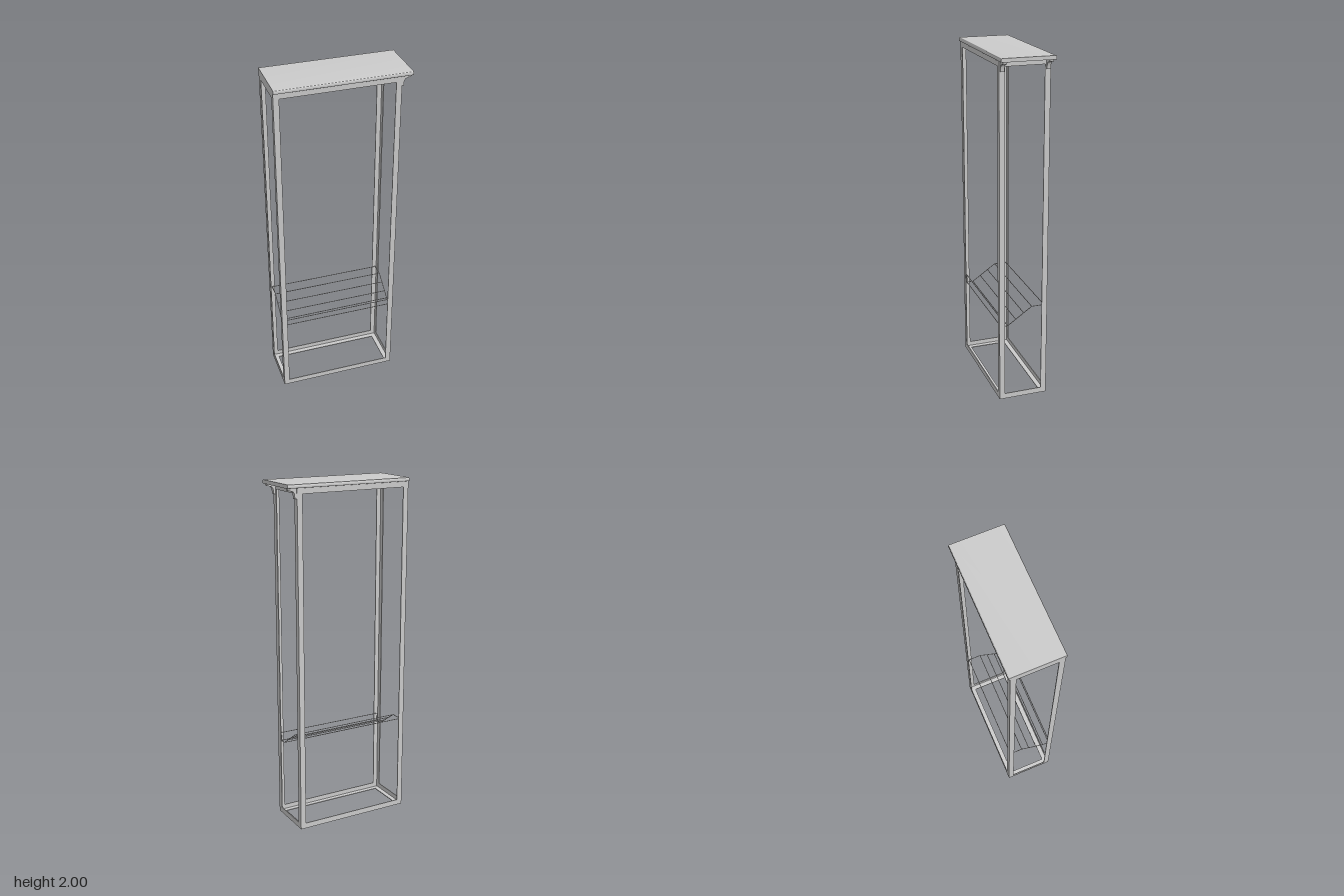
import * as THREE from 'three';
import { toCreasedNormals } from 'three/addons/utils/BufferGeometryUtils.js';

const X0 = -0.38, X1 = 0.318, ZO = 0.143; // outer faces of the frame
const W = 0.032, T = 0.005;               // angle-iron flange width and thickness
const TOP = 1.979;

export function createModel() {
  const root = new THREE.Group();
  const mat = new THREE.MeshStandardMaterial({ color: 0xcccccc });

  const add = (parent, name, geo) => {
    const m = new THREE.Mesh(geo, mat);
    m.name = name;
    parent.add(m);
    return m;
  };
  // box given by its two extreme corners
  const slab = (parent, name, a, b) => {
    const g = new THREE.BoxGeometry(...a.map((v, i) => Math.abs(b[i] - v)));
    g.translate(...a.map((v, i) => (v + b[i]) / 2));
    return add(parent, name, g);
  };
  const group = (name) => {
    const g = new THREE.Group();
    g.name = name;
    root.add(g);
    return g;
  };

  // Corner posts: L-section angle iron, open towards the inside
  const posts = group('posts');
  for (const [x, dx] of [[X0, 1], [X1, -1]]) {
    for (const s of [1, -1]) {
      const z = s * ZO;
      slab(posts, 'postFaceFlange', [x, 0, z], [x + dx * W, TOP, z - s * T]);
      slab(posts, 'postSideFlange', [x, 0, z - s * T], [x + dx * T, TOP, z - s * W]);
    }
  }

  // Bottom and top rails: angle iron with an upright and a flat flange
  for (const [name, y, dy] of [['bottomRails', 0, 1], ['topRails', TOP, -1]]) {
    const rails = group(name);
    for (const s of [1, -1]) {
      const z = s * ZO;
      slab(rails, 'longRailUpright', [X0 + W, y, z], [X1 - W, y + dy * W, z - s * T]);
      slab(rails, 'longRailFlat', [X0 + T, y, z - s * T], [X1 - T, y + dy * T, z - s * W]);
    }
    for (const [x, dx] of [[X0, 1], [X1, -1]]) {
      slab(rails, 'endRailUpright', [x, y, W - ZO], [x + dx * T, y + dy * W, ZO - W]);
      slab(rails, 'endRailFlat', [x + dx * T, y, W - ZO], [x + dx * W, y + dy * T, ZO - W]);
    }
  }

  // Top board with softly rounded long edges, overhanging one end
  const h = 0.152, y0 = 1.979, r = 0.008;
  const board = new THREE.Shape();
  board.moveTo(-h + 0.003, y0);
  board.lineTo(h - 0.003, y0);
  board.quadraticCurveTo(h, y0, h, y0 + 0.003);
  board.lineTo(h, 2 - r);
  board.quadraticCurveTo(h, 2, h - r, 2);
  board.lineTo(-h + r, 2);
  board.quadraticCurveTo(-h, 2, -h, 2 - r);
  board.lineTo(-h, y0 + 0.003);
  board.quadraticCurveTo(-h, y0, -h + 0.003, y0);
  const boardGeo = new THREE.ExtrudeGeometry(board, { depth: 0.758, bevelEnabled: false, curveSegments: 6 });
  boardGeo.rotateY(Math.PI / 2).translate(-0.38, 0, 0);
  add(root, 'topBoard', toCreasedNormals(boardGeo, 0.6));

  // Curved brackets carrying the overhang
  const br = new THREE.Shape();
  br.moveTo(X1, 1.922);
  br.lineTo(X1 + 0.011, 1.922);
  br.lineTo(X1 + 0.013, 1.945);
  br.quadraticCurveTo(X1 + 0.016, 1.961, X1 + 0.032, 1.964);
  br.lineTo(X1 + 0.05, 1.967);
  br.lineTo(X1 + 0.053, y0);
  br.lineTo(X1, y0);
  const brGeo = toCreasedNormals(
    new THREE.ExtrudeGeometry(br, { depth: 0.022, bevelEnabled: false, curveSegments: 6 }), 0.6);
  const brackets = group('overhangBrackets');
  for (const z of [0.117, -0.139]) add(brackets, 'bracket', brGeo).position.z = z;

  // Wire shelf: bent end wires joined by long wires, with a front guard wire
  const shelf = group('wireShelf');
  const xa = -0.366, xb = 0.304, R = 0.0022;
  const rod = (name, a, b) => {
    const p = new THREE.Vector3(...a), d = new THREE.Vector3(...b).sub(p);
    const m = add(shelf, name, new THREE.CylinderGeometry(R, R, d.length(), 8));
    m.position.copy(p).addScaledVector(d, 0.5);
    m.quaternion.setFromUnitVectors(new THREE.Vector3(0, 1, 0), d.normalize());
  };
  const bend = [[0.51, 0.13], [0.461, 0.13], [0.461, 0.09], [0.561, -0.055], [0.561, -0.13]]; // y, z
  for (const x of [xa, xb]) {
    for (let i = 1; i < bend.length; i++) rod('endWire', [x, ...bend[i - 1]], [x, ...bend[i]]);
  }
  const slope = [1 / 3, 2 / 3].map((t) => [0.461 + 0.1 * t, 0.09 - 0.145 * t]);
  for (const p of [...bend, ...slope]) rod('longWire', [xa, ...p], [xb, ...p]);

  return root;
}
